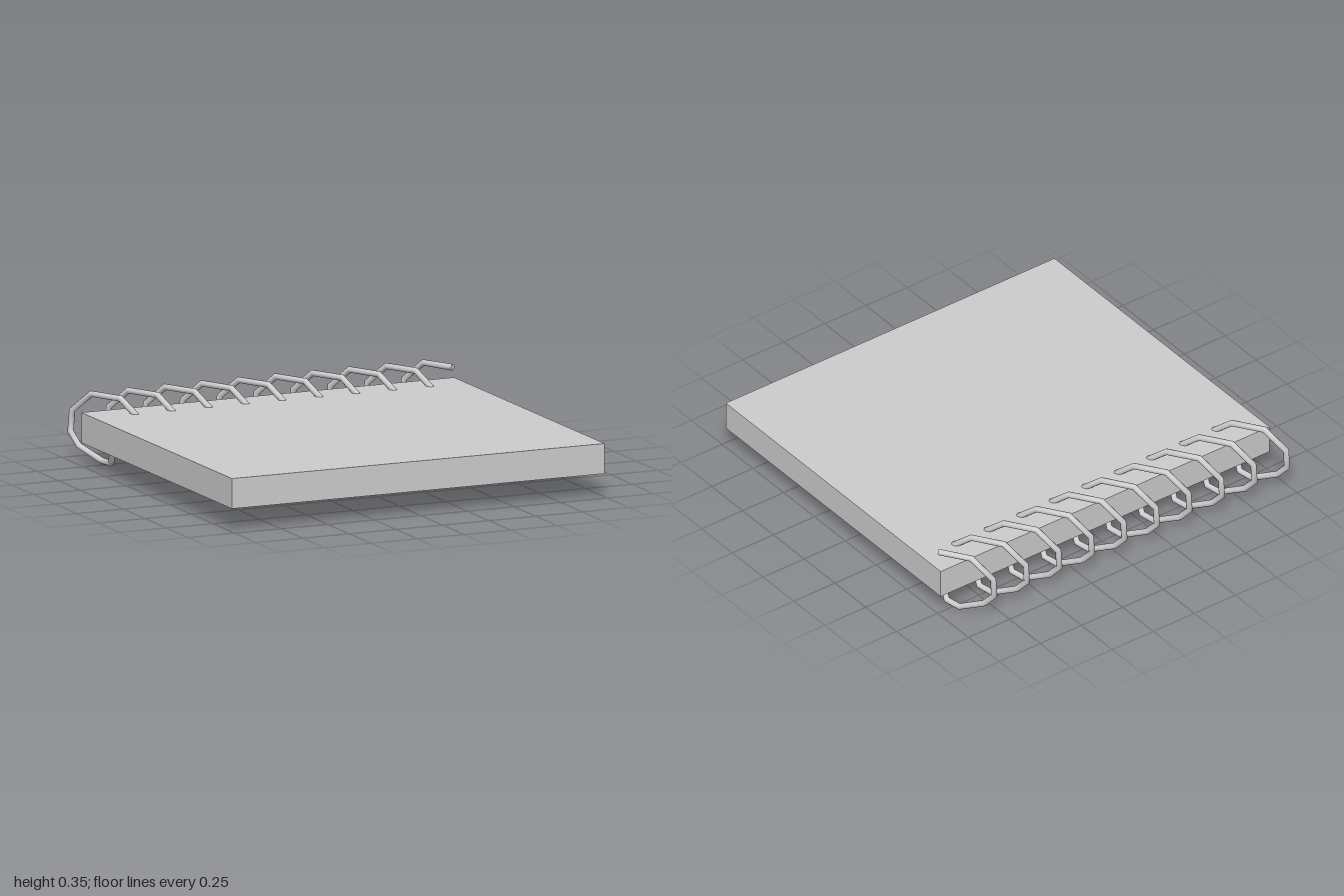
import * as THREE from 'three';

const PITCH = 0.198, LOOPS = 10, WIRE = 0.016;

// One turn of the binding wire, from the underside hole round the back to the top hole
const TURN = [
  [-0.905, 0.11, -0.615], [-0.872, 0.02, -0.705], [-0.888, 0.02, -0.786],
  [-0.955, 0.078, -0.9], [-0.977, 0.143, -0.95], [-0.966, 0.247, -0.954],
  [-0.908, 0.34, -0.856], [-0.818, 0.335, -0.712], [-0.775, 0.265, -0.63],
];

// Straight runs between points, with mitred corners
class BentWire extends THREE.Curve {
  constructor(points) {
    super();
    this.points = points;
  }
  getPoint(t, target = new THREE.Vector3()) {
    const last = this.points.length - 1;
    const i = Math.min(Math.floor(t * last + 1e-6), last - 1);
    return target.lerpVectors(this.points[i], this.points[i + 1], t * last - i);
  }
  getPointAt(t, target) {
    return this.getPoint(t, target);
  }
  getTangentAt(t, target = new THREE.Vector3()) {
    const p = this.points, last = p.length - 1, i = Math.round(t * last);
    target.set(0, 0, 0);
    if (i > 0) target.add(p[i].clone().sub(p[i - 1]).normalize());
    if (i < last) target.add(p[i + 1].clone().sub(p[i]).normalize());
    return target.normalize();
  }
}

export function createModel() {
  const group = new THREE.Group();
  group.name = 'spiralNotebook';
  const material = new THREE.MeshStandardMaterial({ color: 0xcccccc });

  const add = (name, geometry) => {
    const mesh = new THREE.Mesh(geometry, material);
    mesh.name = name;
    group.add(mesh);
    return mesh;
  };

  // Block of pages
  add('pageBlock', new THREE.BoxGeometry(2, 0.15, 1.745)).position.set(0, 0.195, 0.0975);

  // Continuous spiral wire along the back edge, starting inside the block
  const points = [new THREE.Vector3(-0.94, 0.19, -0.62)];
  for (let k = 0; k < LOOPS; k++) {
    for (const [x, y, z] of TURN) points.push(new THREE.Vector3(x + k * PITCH, y, z));
  }
  points.pop(); // the last turn stops short above the block
  const wire = new BentWire(points);
  add('spiralWire', new THREE.TubeGeometry(wire, points.length - 1, WIRE, 10, false));

  // Cut ends of the wire
  [['wireStart', 0, -1], ['wireEnd', 1, 1]].forEach(([name, t, sign]) => {
    const cap = add(name, new THREE.CircleGeometry(WIRE, 10));
    cap.position.copy(wire.getPointAt(t));
    cap.quaternion.setFromUnitVectors(
      new THREE.Vector3(0, 0, 1), wire.getTangentAt(t).multiplyScalar(sign));
  });

  return group;
}
